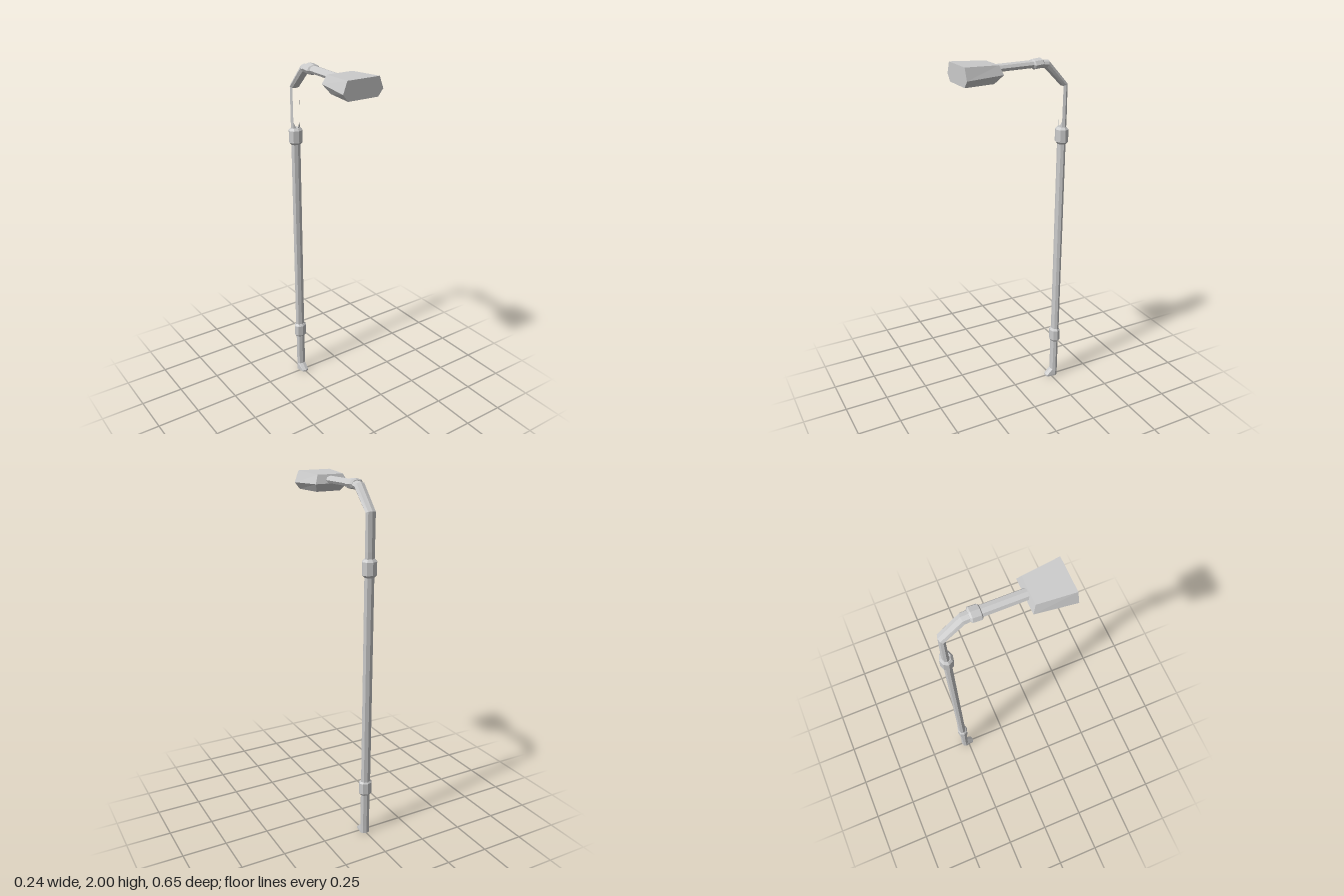
import * as THREE from 'three';

const material = new THREE.MeshStandardMaterial({ color: 0xcccccc, flatShading: true });

function addMesh(group, name, positions, index) {
  const geometry = new THREE.BufferGeometry();
  geometry.setAttribute('position', new THREE.Float32BufferAttribute(positions, 3));
  geometry.setIndex(index);
  geometry.computeVertexNormals();
  const mesh = new THREE.Mesh(geometry, material);
  mesh.name = name;
  group.add(mesh);
}

// Octagonal tube bending in the yz plane. Each ring is { y, z, rx, rn, tilt, kick }:
// tilt 0 points up, 90 points forward; kick pushes the front corners forward.
// skip(k, i) gives how many triangles of a side panel to leave out.
function addTube(group, name, rings, { capStart = false, capEnd = false, skip = () => false } = {}) {
  const N = 8, pos = [], index = [];
  for (const { y, z, rx, rn, tilt = 0, kick = 0 } of rings) {
    const t = THREE.MathUtils.degToRad(tilt);
    for (let i = 0; i < N; i++) {
      const a = (i / N) * Math.PI * 2, n = rn * Math.cos(a);
      const front = i >= 3 && i <= 5 ? kick : 0;
      pos.push(rx * Math.sin(a), y + n * Math.sin(t), z - n * Math.cos(t) + front);
    }
  }
  for (let k = 0; k < rings.length - 1; k++) {
    for (let i = 0; i < N; i++) {
      const j = (i + 1) % N, a = k * N + i, b = k * N + j, c = a + N, d = b + N;
      const tris = i === 3 ? [[a, c, b], [c, d, b]] : [[a, c, d], [a, d, b]];
      tris.forEach((tri, n) => { if (!skip(k, i, n)) index.push(...tri); });
    }
  }
  const last = (rings.length - 1) * N;
  for (let i = 1; i < N - 1; i++) {
    if (capStart) index.push(0, i, i + 1);
    if (capEnd) index.push(last, last + i + 1, last + i);
  }
  addMesh(group, name, pos, index);
}

// Chamfered sleeve centred on a point of the pole or arm
function addCollar(group, name, y, z, length, rx, rn, tilt) {
  const t = THREE.MathUtils.degToRad(tilt);
  const profile = [[-0.5, 0.7], [-0.36, 1], [0.36, 1], [0.5, 0.7]];
  addTube(group, name, profile.map(([s, f]) => ({
    y: y + s * length * Math.cos(t), z: z + s * length * Math.sin(t), rx: rx * f, rn: rn * f, tilt,
  })), { capStart: true, capEnd: true });
}

// Box-like lamp: [y front, y back, z front, z back, half width front, half width back] per level
function addLamp(group) {
  const levels = [
    [1.9, 1.9, 0.325, 0.155, 0.09, 0.07],
    [1.937, 1.945, 0.325, 0.113, 0.12, 0.096],
    [2.0, 1.992, 0.325, 0.13, 0.096, 0.077],
  ];
  const pos = [], index = [];
  for (const [yf, yb, zf, zb, wf, wb] of levels)
    pos.push(-wf, yf, zf, wf, yf, zf, wb, yb, zb, -wb, yb, zb);
  for (let k = 0; k < 2; k++)
    for (let i = 0; i < 4; i++) {
      const j = (i + 1) % 4, a = k * 4 + i, b = k * 4 + j;
      index.push(a, b, b + 4, a, b + 4, a + 4);
    }
  index.push(0, 2, 1, 0, 3, 2, 8, 9, 10, 8, 10, 11);
  addMesh(group, 'lampHead', pos, index);
}

export function createModel() {
  const group = new THREE.Group();
  group.name = 'streetLamp';

  // Base with a forward toe
  addTube(group, 'base', [
    { y: 0, z: -0.273, rx: 0.028, rn: 0.022, kick: 0.036 },
    { y: 0.01, z: -0.273, rx: 0.028, rn: 0.022, kick: 0.036 },
    { y: 0.045, z: -0.273, rx: 0.028, rn: 0.022 },
    { y: 0.29, z: -0.275, rx: 0.028, rn: 0.022 },
  ], { capStart: true });
  addCollar(group, 'lowerCollar', 0.295, -0.275, 0.09, 0.039, 0.031, 0);

  // Long pole, leaning slightly back
  addTube(group, 'pole', [
    { y: 0.29, z: -0.277, rx: 0.029, rn: 0.022 },
    { y: 1.56, z: -0.289, rx: 0.029, rn: 0.022 },
  ]);
  addCollar(group, 'upperCollar', 1.565, -0.289, 0.095, 0.042, 0.036, 0);

  // Curved neck, with a slot left open along its front
  addTube(group, 'neck', [
    { y: 1.6, z: -0.29, rx: 0.029, rn: 0.02 },
    { y: 1.65, z: -0.292, rx: 0.029, rn: 0.02 },
    { y: 1.845, z: -0.293, rx: 0.03, rn: 0.019, tilt: 22 },
    { y: 1.961, z: -0.184, rx: 0.031, rn: 0.024, tilt: 65 },
    { y: 1.967, z: -0.13, rx: 0.031, rn: 0.02, tilt: 88 },
  ], {
    skip: (k, i, n) => (k === 1 && (i === 3 || i === 4))
      || (k === 0 && ((i === 3 && n === 1) || (i === 4 && n === 0))),
  });
  addCollar(group, 'armCollar', 1.967, -0.126, 0.062, 0.042, 0.028, 95);

  // Horizontal arm into the lamp
  addTube(group, 'arm', [
    { y: 1.967, z: -0.13, rx: 0.031, rn: 0.021, tilt: 90 },
    { y: 1.963, z: 0.129, rx: 0.031, rn: 0.021, tilt: 90 },
  ], { capEnd: true });
  addLamp(group);
  return group;
}
